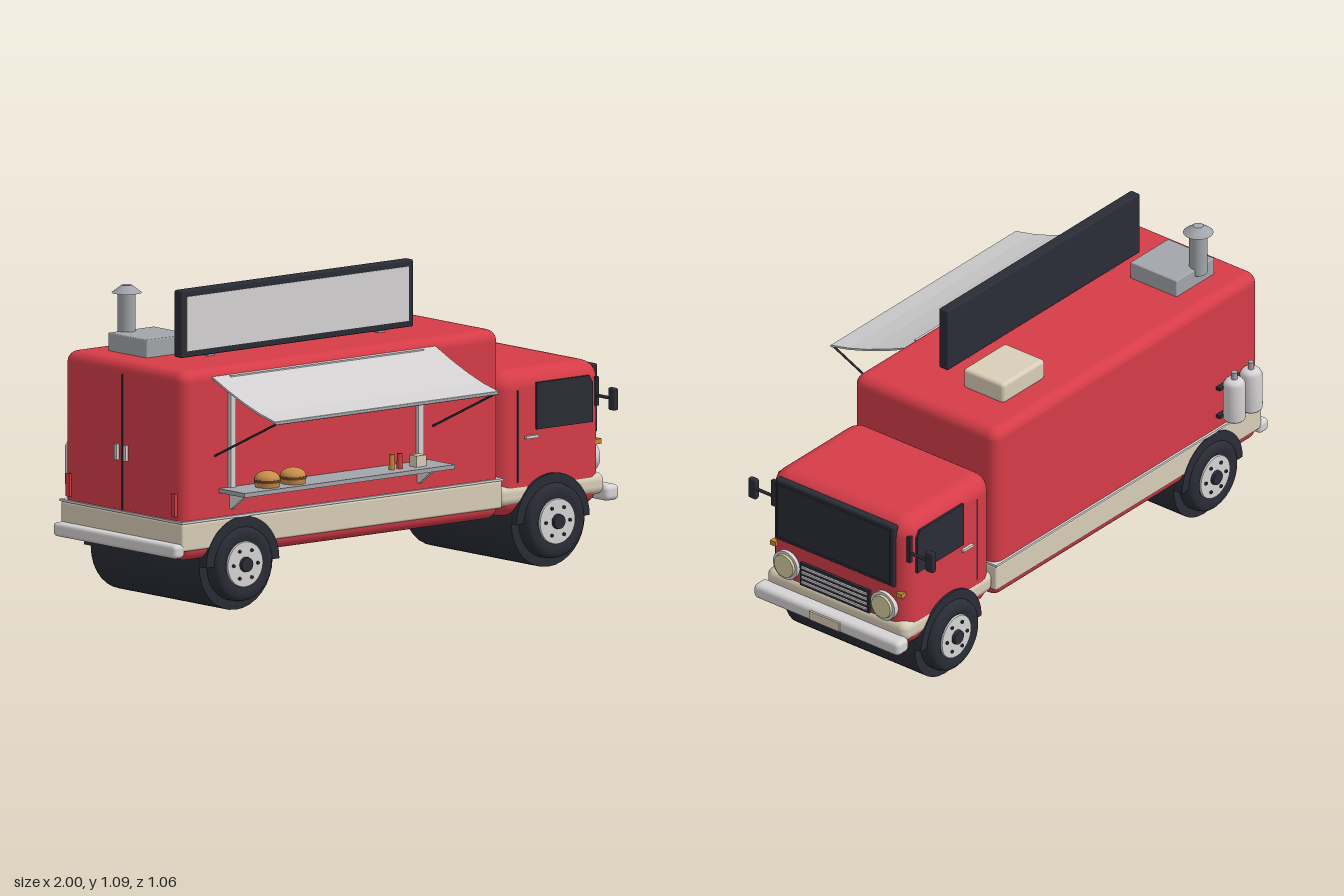
import * as THREE from 'three';
import { RoundedBoxGeometry } from 'three/addons/geometries/RoundedBoxGeometry.js';

const mat = (name, color) => new THREE.MeshStandardMaterial({ name, color });

export function createModel() {
  const truck = new THREE.Group();
  truck.name = 'foodTruck';
  const red = mat('red paint', 0xd63c48), cream = mat('cream trim', 0xd8ceb8);
  const dark = mat('dark rubber and glass', 0x2a2c36), light = mat('light metal', 0xd6d3d4);
  const steel = mat('grey steel', 0xa2a5aa), lamp = mat('lamp yellow', 0xd6cfa0);
  const orange = mat('orange', 0xc88a3a), bun = mat('bun brown', 0xc98f4a), patty = mat('patty brown', 0x6b3d24);
  const awningCloth = mat('awning cloth', 0xd2d0d1);
  awningCloth.side = THREE.DoubleSide;
  const C = -0.1225; // centre line of the vehicle in z

  const add = (name, geo, m, x = 0, y = 0, z = 0, parent = truck) => {
    const mesh = new THREE.Mesh(geo, m);
    mesh.name = name;
    mesh.position.set(x, y, z);
    parent.add(mesh);
    return mesh;
  };
  // Box given by its min and max on each axis; r rounds the edges
  const box = (name, m, [x0, x1], [y0, y1], [z0, z1], r = 0) => {
    const s = [x1 - x0, y1 - y0, z1 - z0];
    const geo = r ? new RoundedBoxGeometry(...s, 4, r) : new THREE.BoxGeometry(...s);
    return add(name, geo, m, (x0 + x1) / 2, (y0 + y1) / 2, (z0 + z1) / 2);
  };
  const cyl = (name, m, r0, r1, h, x, y, z, axis = 'y') => {
    const geo = new THREE.CylinderGeometry(r1, r0, h, 32);
    if (axis === 'x') geo.rotateZ(-Math.PI / 2);
    if (axis === 'z') geo.rotateX(Math.PI / 2);
    return add(name, geo, m, x, y, z);
  };
  const rod = (name, m, a, b, r) => {
    const path = new THREE.LineCurve3(new THREE.Vector3(...a), new THREE.Vector3(...b));
    return add(name, new THREE.TubeGeometry(path, 1, r, 8), m);
  };
  // Outline in (z, y) extruded along x from x0 to x1
  const profile = (name, m, pts, x0, x1) => {
    const shape = new THREE.Shape(pts.map(p => new THREE.Vector2(...p)));
    const geo = new THREE.ExtrudeGeometry(shape, { depth: x1 - x0, bevelEnabled: false });
    geo.rotateY(-Math.PI / 2);
    return add(name, geo, m, x1, 0, 0);
  };

  // Body shell and cab
  box('body', red, [-0.96, 0.465], [0.195, 0.853], [-0.44, 0.195], 0.04);
  box('cab', red, [0.458, 0.935], [0.19, 0.697], [-0.43, 0.183], 0.065);
  box('bodySkirt', cream, [-0.965, 0.468], [0.232, 0.328], [-0.446, 0.201], 0.008);
  box('skirtTrim', light, [-0.967, 0.47], [0.328, 0.336], [-0.449, 0.204]);
  box('cabSkirt', cream, [0.46, 0.944], [0.228, 0.306], [-0.434, 0.188], 0.03);
  box('frontBumper', light, [0.93, 0.995], [0.205, 0.26], [-0.445, 0.2], 0.018);
  box('rearBumper', light, [-1, -0.95], [0.21, 0.258], [-0.45, 0.203], 0.015);
  box('frontPlate', cream, [0.993, 1], [0.216, 0.25], [-0.188, -0.055]);

  // Front of the cab
  box('windscreenFrame', dark, [0.915, 0.944], [0.438, 0.677], [-0.385, 0.142], 0.008);
  box('windscreen', dark, [0.94, 0.95], [0.455, 0.662], [-0.37, 0.127]);
  box('grille', dark, [0.92, 0.945], [0.297, 0.386], [-0.275, 0.03]);
  for (let i = 0; i < 4; i++) {
    const y = 0.309 + i * 0.0195;
    box('grilleBar', light, [0.94, 0.951], [y, y + 0.008], [-0.267, 0.022]);
  }

  // Parts repeated on both sides of the centre line
  for (const s of [1, -1]) {
    const z = d => C + s * d;
    const span = (a, b) => [z(a), z(b)].sort((p, q) => p - q);
    cyl('headlightRing', light, 0.054, 0.054, 0.03, 0.934, 0.352, z(0.216), 'x');
    cyl('headlight', lamp, 0.049, 0.042, 0.04, 0.938, 0.352, z(0.216), 'x');
    box('indicator', orange, [0.9, 0.938], [0.402, 0.42], span(0.267, 0.291));

    // Side window with a slanted front top corner
    const win = new THREE.Shape([[0.63, 0.487], [0.88, 0.487], [0.88, 0.625], [0.865, 0.65], [0.63, 0.65]]
      .map(p => new THREE.Vector2(...p)));
    add('sideWindow', new THREE.ExtrudeGeometry(win, { depth: 0.009, bevelEnabled: false }), dark,
      0, 0, s > 0 ? z(0.305) : z(0.314));
    box('doorSeam', dark, [0.547, 0.553], [0.31, 0.63], span(0.3, 0.308));
    box('doorHandle', light, [0.58, 0.635], [0.459, 0.469], span(0.3, 0.318));
    rod('mirrorArm', dark, [0.905, 0.575, z(0.28)], [0.905, 0.575, z(0.39)], 0.006);
    box('mirror', dark, [0.893, 0.915], [0.535, 0.613], span(0.375, 0.41), 0.007);
    box('quarterTrim', dark, [0.898, 0.912], [0.54, 0.64], span(0.285, 0.308));

    // Rear doors
    box('rearHandle', light, [-0.972, -0.955], [0.51, 0.565], span(0.018, 0.03));
    box('tailLight', red, [-0.97, -0.95], [0.35, 0.43], span(0.27, 0.29));

    // Wheels with arches, hub, cap and bolts
    for (const x of [-0.695, 0.7]) {
      const arch = new THREE.CylinderGeometry(0.163, 0.163, 0.036, 48, 1, false, Math.PI / 2, Math.PI);
      arch.rotateX(Math.PI / 2);
      add('wheelArch', arch, dark, x, 0.166, z(x > 0 ? 0.298 : 0.308));
      const wheel = new THREE.Group();
      wheel.name = 'wheel';
      wheel.position.set(x, 0.164, C);
      wheel.rotation.x = s * Math.PI / 2;
      truck.add(wheel);
      const tyre = [[0.131, 0.28], [0.131, 0.315], [0.127, 0.331], [0.115, 0.341], [0.09, 0.342], [0.08, 0.333], [0, 0.333]];
      add('tyre', new THREE.LatheGeometry(tyre.map(p => new THREE.Vector2(...p)), 48), dark, 0, 0, 0, wheel);
      add('hub', new THREE.CylinderGeometry(0.078, 0.08, 0.01, 40), light, 0, 0.335, 0, wheel);
      add('hubCap', new THREE.CylinderGeometry(0.025, 0.027, 0.018, 20), dark, 0, 0.343, 0, wheel);
      for (let i = 0; i < 6; i++) {
        const a = i * Math.PI / 3;
        add('bolt', new THREE.CylinderGeometry(0.006, 0.006, 0.012, 8), dark, 0.054 * Math.cos(a), 0.34, 0.054 * Math.sin(a), wheel);
      }
    }
  }
  for (const x of [-0.695, 0.7]) cyl('wheelRoller', dark, 0.164, 0.164, 0.578, x, 0.164, C, 'z');
  box('rearDoorSeam', dark, [-0.963, -0.955], [0.336, 0.81], [C - 0.003, C + 0.003]);

  // Serving hatch, counter and its brackets
  for (const x of [-0.742, 0.097]) {
    box('hatchPost', light, [x - 0.012, x + 0.012], [0.43, 0.82], [0.19, 0.21]);
    profile('counterBracket', light, [[0.195, 0.36], [0.205, 0.36], [0.29, 0.422], [0.195, 0.422]], x - 0.006, x + 0.006);
  }
  box('hatchLintel', light, [-0.754, 0.109], [0.8, 0.824], [0.19, 0.21]);
  box('counter', steel, [-0.795, 0.145], [0.42, 0.435], [0.19, 0.333]);

  // Awning with a slight sag, edge bar and stays
  const top = [[0.195, 0.826], [0.28, 0.789], [0.37, 0.755], [0.45, 0.73], [0.53, 0.712]];
  profile('awning', awningCloth, [...top.map(([z, y]) => [z, y - 0.007]), ...top.reverse()], -0.825, 0.173);
  rod('awningBar', steel, [-0.825, 0.705, 0.526], [0.173, 0.705, 0.526], 0.006);
  for (const x of [-0.812, 0.162]) rod('awningStay', dark, [x, 0.703, 0.525], [x, 0.548, 0.19], 0.004);

  // Food on the counter
  for (const x of [-0.64, -0.525]) {
    cyl('bunBase', bun, 0.042, 0.045, 0.016, x, 0.443, 0.268);
    cyl('patty', patty, 0.046, 0.046, 0.01, x, 0.456, 0.268);
    const dome = new THREE.SphereGeometry(0.045, 24, 8, 0, Math.PI * 2, 0, Math.PI / 2);
    add('bunTop', dome.scale(1, 0.65, 1), bun, x, 0.461, 0.268);
  }
  cyl('mustardBottle', orange, 0.011, 0.009, 0.052, -0.085, 0.461, 0.27);
  cyl('sauceBottle', red, 0.011, 0.009, 0.052, -0.05, 0.461, 0.27);
  box('napkinBox', cream, [0.006, 0.052], [0.435, 0.474], [0.255, 0.292]);

  // Roof sign
  box('signFrame', dark, [-0.79, 0.247], [0.86, 1.093], [-0.05, -0.01], 0.006);
  box('signPanel', light, [-0.768, 0.225], [0.882, 1.071], [-0.015, -0.008]);
  for (const x of [-0.65, 0.11]) box('signFoot', steel, [x - 0.015, x + 0.015], [0.845, 0.87], [-0.042, -0.018]);

  // Roof cooler with vent
  box('cooler', cream, [0.06, 0.288], [0.848, 0.926], [-0.33, -0.15], 0.014);
  box('coolerVent', dark, [0.08, 0.268], [0.862, 0.912], [-0.16, -0.146]);
  for (let i = 0; i < 4; i++) box('ventSlat', steel, [0.08, 0.268], [0.866 + i * 0.012, 0.871 + i * 0.012], [-0.15, -0.142]);

  // Extractor box and chimney
  box('extractor', steel, [-0.85, -0.645], [0.845, 0.915], [-0.33, -0.125], 0.004);
  cyl('chimney', steel, 0.031, 0.031, 0.165, -0.775, 0.972, -0.32);
  cyl('chimneyCap', steel, 0.052, 0.018, 0.026, -0.775, 1.061, -0.32);

  // Gas bottles on the back wall
  const bottle = [[0, 0], [0.032, 0], [0.039, 0.008], [0.039, 0.142], [0.03, 0.157], [0.012, 0.161], [0, 0.161]];
  for (const x of [-0.865, -0.775]) {
    add('gasBottle', new THREE.LatheGeometry(bottle.map(p => new THREE.Vector2(...p)), 28), light, x, 0.365, -0.48);
    cyl('gasValve', steel, 0.011, 0.011, 0.03, x, 0.538, -0.48);
  }
  for (const y of [0.385, 0.495]) box('bottleBracket', dark, [-0.915, -0.725], [y - 0.006, y + 0.006], [-0.458, -0.436]);

  return truck;
}
